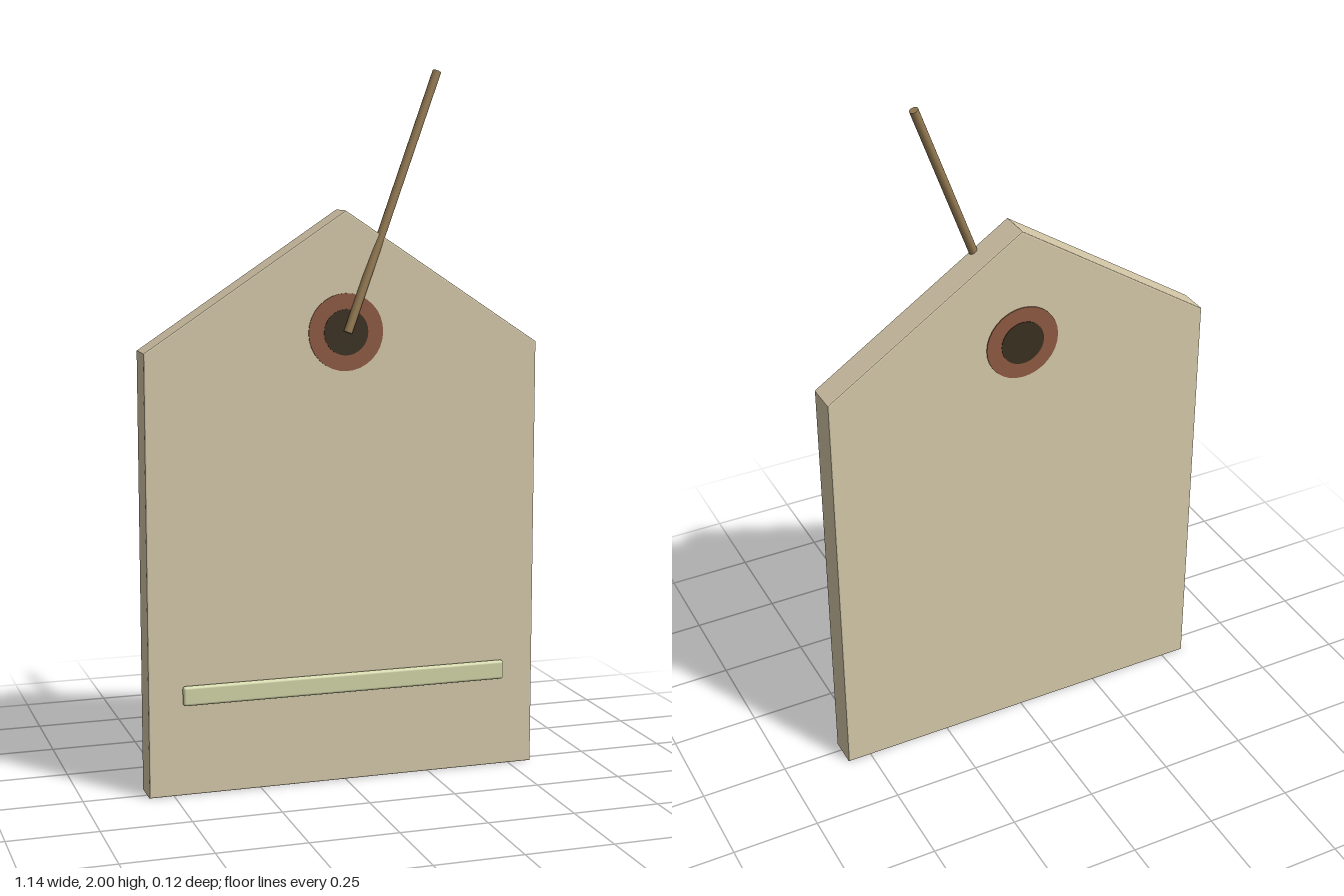
import * as THREE from 'three';
import { RoundedBoxGeometry } from 'three/addons/geometries/RoundedBoxGeometry.js';

const material = (name, color) => {
  const m = new THREE.MeshStandardMaterial({ color });
  m.name = name;
  return m;
};

export function createModel() {
  const group = new THREE.Group();
  const card = material('card', 0xd6c9aa);
  const leather = material('leather', 0x8e5a42);
  const dark = material('dark hole', 0x3a3020);
  const pale = material('pale green', 0xd2d6a8);
  const twine = material('twine', 0x947a52);

  const add = (name, geometry, mat, x = 0, y = 0, z = 0) => {
    const mesh = new THREE.Mesh(geometry, mat);
    mesh.name = name;
    mesh.position.set(x, y, z);
    group.add(mesh);
    return mesh;
  };

  const midZ = -0.0115; // middle of the card's thickness
  const holeY = 1.28;

  // Pointed tag body with a fine bevel
  const bevel = 0.004;
  const outline = new THREE.Shape([
    [-0.566, 0.004], [0.566, 0.004], [0.566, 1.236], [0, 1.61], [-0.566, 1.236],
  ].map(([x, y]) => new THREE.Vector2(x, y)));
  const body = new THREE.ExtrudeGeometry(outline, {
    depth: 0.091 - 2 * bevel,
    bevelEnabled: true, bevelSize: bevel, bevelThickness: bevel, bevelSegments: 2,
  });
  body.translate(0, 0, -0.0455 + bevel);
  add('tagBody', body, card, 0, 0, midZ);

  // Reinforcing ring and dark hole, showing on both faces
  const disc = (radius, depth) =>
    new THREE.CylinderGeometry(radius, radius, depth, 32).rotateX(Math.PI / 2);
  add('reinforcingRing', disc(0.108, 0.097), leather, 0, holeY, midZ);
  add('hole', disc(0.064, 0.1), dark, 0, holeY, midZ);

  // Raised line across the lower front
  add('raisedLine', new RoundedBoxGeometry(0.95, 0.055, 0.019, 3, 0.008), pale, 0, 0.287, 0.0445);

  // Straight cord leaning out of the hole
  const start = new THREE.Vector3(0.002, 1.28, 0.046);
  const end = new THREE.Vector3(0.28, 1.995, -0.011);
  const along = end.clone().sub(start);
  const cord = add('cord', new THREE.CylinderGeometry(0.0125, 0.0125, along.length(), 12), twine);
  cord.position.copy(start).addScaledVector(along, 0.5);
  cord.quaternion.setFromUnitVectors(new THREE.Vector3(0, 1, 0), along.normalize());

  return group;
}
